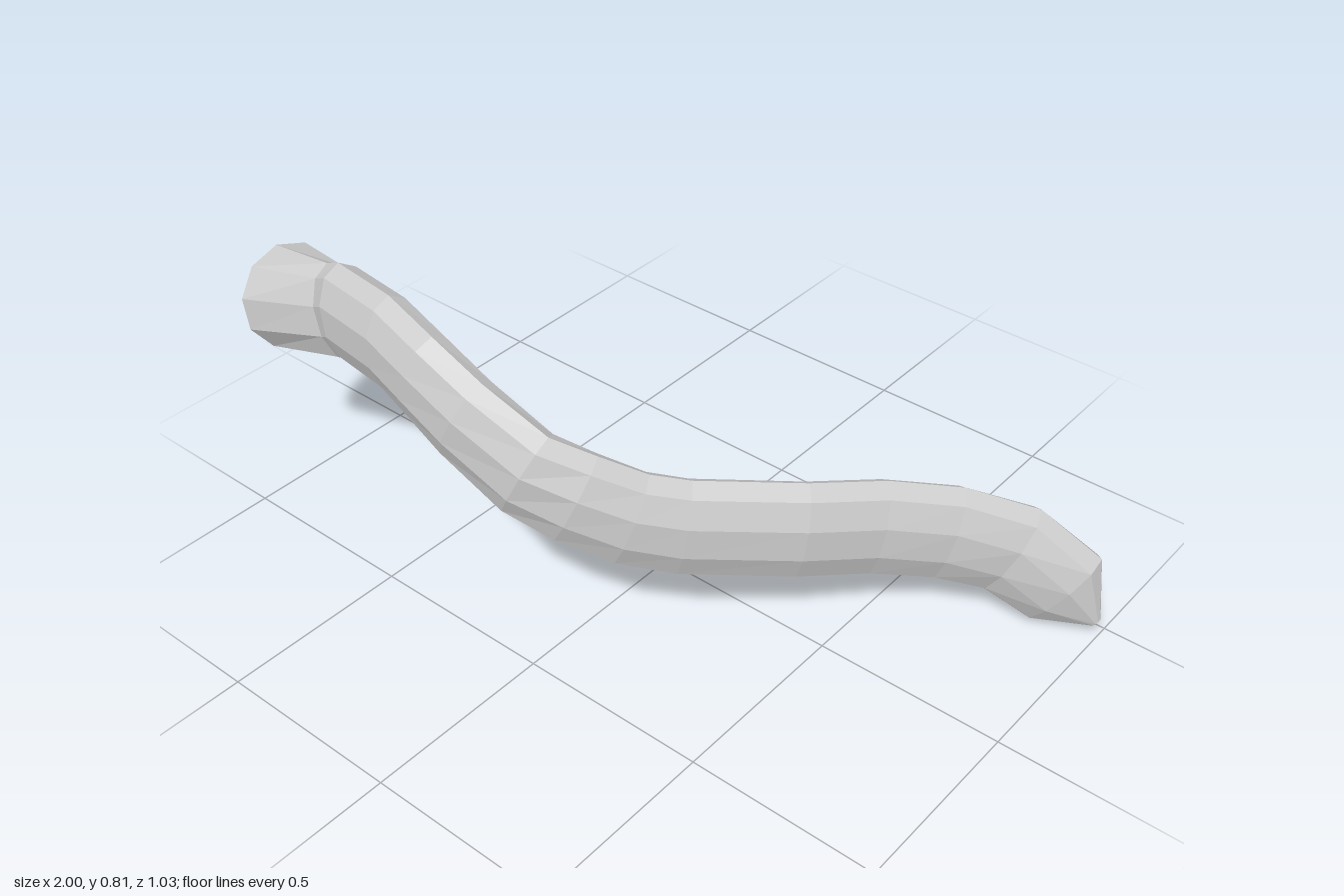
import * as THREE from 'three';

const SIDES = 10;
const material = new THREE.MeshStandardMaterial({ color: 0xcccccc, flatShading: true, side: THREE.DoubleSide });

// Sections along the pipe: centre x, y, z, then half height and half width
const sections = [
  [-0.975, 0.585, 0.34, 0.138, 0.14],
  [-0.755, 0.63, 0.356, 0.13, 0.072],
  [-0.70, 0.66, 0.375, 0.133, 0.075],
  [-0.50, 0.675, 0.412, 0.135, 0.075],
  [-0.37, 0.65, 0.435, 0.135, 0.075],
  [-0.24, 0.59, 0.437, 0.135, 0.075],
  [-0.07, 0.50, 0.415, 0.135, 0.074],
  [0.03, 0.448, 0.362, 0.135, 0.073],
  [0.13, 0.39, 0.285, 0.135, 0.072],
  [0.22, 0.357, 0.20, 0.137, 0.071],
  [0.415, 0.325, 0.0, 0.138, 0.07],
  [0.53, 0.30, -0.15, 0.138, 0.07],
  [0.65, 0.265, -0.28, 0.138, 0.07],
  [0.77, 0.212, -0.385, 0.138, 0.07],
  [0.895, 0.112, -0.452, 0.137, 0.07],
  [0.993, 0.045, -0.46, 0.014, 0.012],
];
const centres = sections.map(([x, y, z]) => new THREE.Vector3(x, y, z));

// Oval ring square to the path, kept upright
const rings = sections.map(([, , , height, width], i) => {
  const from = centres[Math.max(i - 1, 0)];
  const to = centres[Math.min(i + 1, centres.length - 1)];
  const tangent = to.clone().sub(from).normalize();
  const up = new THREE.Vector3(0, 1, 0).addScaledVector(tangent, -tangent.y).normalize();
  const side = tangent.clone().cross(up);
  return Array.from({ length: SIDES }, (_, k) => {
    const a = (k / SIDES) * Math.PI * 2;
    return centres[i].clone()
      .addScaledVector(up, Math.cos(a) * height)
      .addScaledVector(side, Math.sin(a) * width);
  });
});

// Skin between a run of rings, with an optional cap on the last one
function loft(name, first, last, capped = false) {
  const points = rings.slice(first, last + 1).flat();
  const index = [];
  const rows = last - first;
  for (let i = 0; i < rows; i++) {
    for (let k = 0; k < SIDES; k++) {
      const a = i * SIDES + k;
      const b = i * SIDES + (k + 1) % SIDES;
      index.push(a, b, a + SIDES, b, b + SIDES, a + SIDES);
    }
  }
  if (capped) {
    const base = rows * SIDES;
    for (let k = 1; k < SIDES - 1; k++) index.push(base, base + k, base + k + 1);
  }
  const geometry = new THREE.BufferGeometry().setFromPoints(points);
  geometry.setIndex(index);
  geometry.computeVertexNormals();
  const mesh = new THREE.Mesh(geometry, material);
  mesh.name = name;
  return mesh;
}

export function createModel() {
  const group = new THREE.Group();
  group.name = 'curvedPipe';
  const end = rings.length - 1;
  group.add(
    loft('flaredOpening', 0, 1),
    loft('shoulder', 1, 2),
    loft('pipeBody', 2, end - 1),
    loft('pointedTip', end - 1, end, true),
  );
  return group;
}
